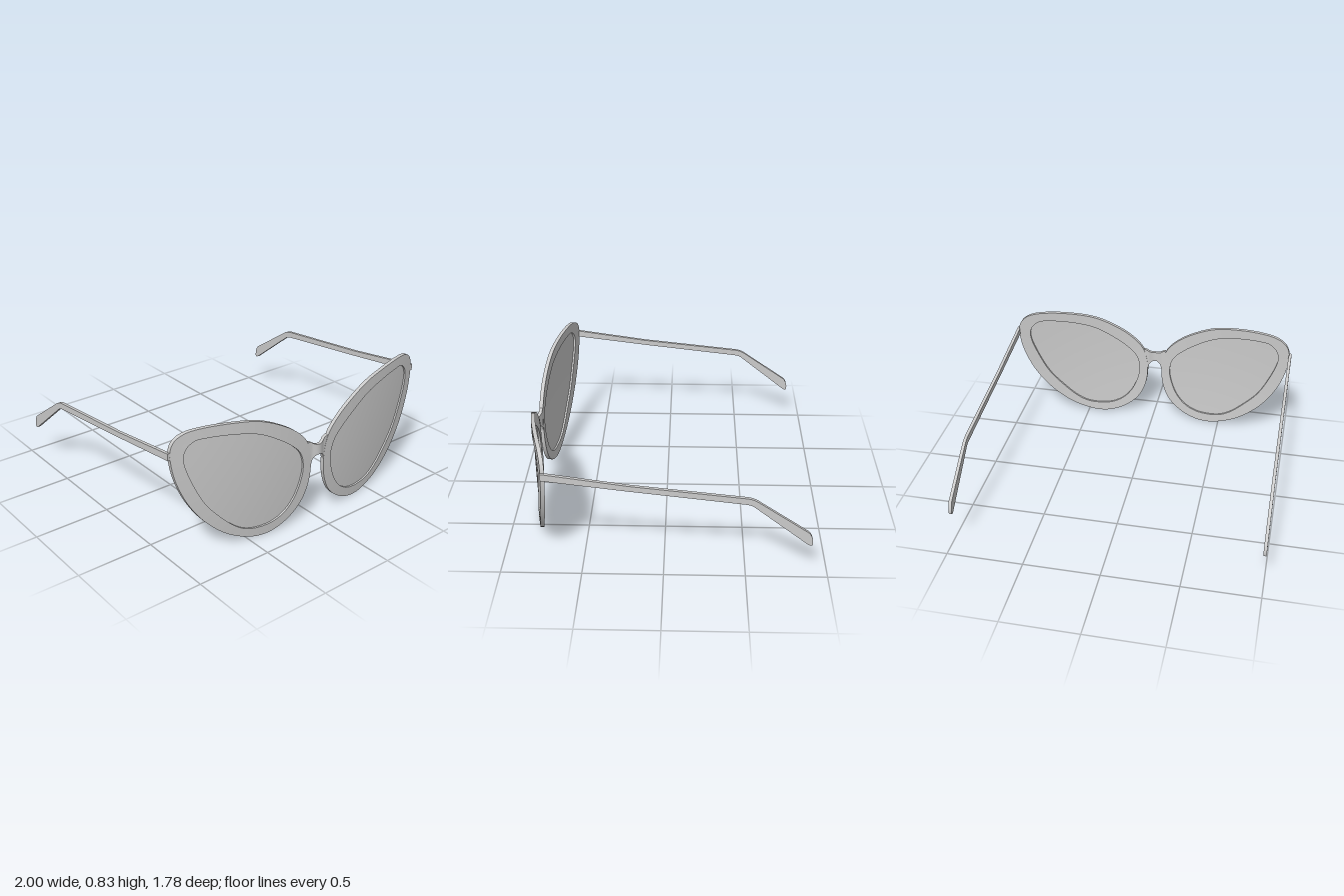
import * as THREE from 'three';
import { toCreasedNormals } from 'three/addons/utils/BufferGeometryUtils.js';

const SEGMENTS = 88;
const THICKNESS = 0.025;

// Matching rim outlines, clockwise from the inner upper corner
const OUTER = [[0.09, 0.56], [0.155, 0.635], [0.25, 0.705], [0.43, 0.79], [0.6, 0.822], [0.8, 0.833],
  [0.9, 0.82], [0.957, 0.785], [0.983, 0.73], [0.983, 0.65], [0.957, 0.52], [0.89, 0.36], [0.785, 0.21],
  [0.65, 0.09], [0.52, 0.025], [0.41, 0], [0.305, 0.013], [0.2, 0.065], [0.118, 0.145], [0.07, 0.25],
  [0.053, 0.36], [0.06, 0.47]];
const INNER = [[0.15, 0.51], [0.2, 0.56], [0.28, 0.62], [0.44, 0.71], [0.6, 0.75], [0.77, 0.767],
  [0.84, 0.763], [0.883, 0.735], [0.907, 0.69], [0.907, 0.63], [0.865, 0.5], [0.785, 0.335], [0.69, 0.22],
  [0.59, 0.125], [0.51, 0.08], [0.42, 0.065], [0.32, 0.075], [0.235, 0.12], [0.175, 0.19], [0.135, 0.28],
  [0.115, 0.37], [0.122, 0.45]];

// Front surface of the wrapped face
const faceZ = (x, y) => 0.875 - 0.165 * x * x - 0.06 * (y - 0.5) ** 2;

function outline(points) {
  const curve = new THREE.CatmullRomCurve3(points.map(([x, y]) => new THREE.Vector3(x, y, 0)), true);
  return Array.from({ length: SEGMENTS }, (_, i) => curve.getPoint(i / SEGMENTS));
}

// Skin a row of closed loops with quads
function loft(loops, flip = false) {
  const n = loops[0].length;
  const index = [];
  for (let i = 0; i < loops.length - 1; i++) {
    for (let j = 0; j < n; j++) {
      const a = i * n + j, b = i * n + (j + 1) % n;
      const c = a + n, d = b + n;
      if (flip) index.push(a, d, b, a, c, d);
      else index.push(a, b, d, a, d, c);
    }
  }
  const geometry = new THREE.BufferGeometry().setFromPoints(loops.flat());
  geometry.setIndex(index);
  return toCreasedNormals(geometry, 0.6);
}

// Lay an outline on the wrapped face, set back by depth
const onFace = (loop, depth, side) =>
  loop.map((p) => new THREE.Vector3(p.x * side, p.y, faceZ(p.x, p.y) - depth));

function rimGeometry(side) {
  const outer = outline(OUTER), inner = outline(INNER);
  const front = onFace(inner, 0, side);
  return loft([front, onFace(outer, 0, side), onFace(outer, THICKNESS, side),
    onFace(inner, THICKNESS, side), front], side < 0);
}

function lensGeometry(side) {
  const edge = outline(INNER), centre = new THREE.Vector3(0.5, 0.45, 0);
  const loops = [];
  for (let i = 0; i <= 8; i++) {
    loops.push(onFace(edge.map((p) => centre.clone().lerp(p, i / 8)), THICKNESS / 2, side));
  }
  return loft(loops, side < 0);
}

function bridgeGeometry() {
  const half = [[0, 0.52, 0.45, 0.89], [0.015, 0.521, 0.449, 0.888], [0.03, 0.525, 0.44, 0.882],
    [0.043, 0.532, 0.425, 0.876], [0.052, 0.54, 0.39, 0.8735], [0.06, 0.545, 0.37, 0.873],
    [0.08, 0.55, 0.37, 0.872]];
  const stations = [...half.slice(1).reverse().map(([x, ...rest]) => [-x, ...rest]), ...half];
  return loft(stations.map(([x, top, bottom, z]) => [[top, z], [bottom, z], [bottom, z - 0.022], [top, z - 0.022]]
    .map(([y, depth]) => new THREE.Vector3(x, y, depth))));
}

// Side profile drawn as (z, y), extruded across x
function templeGeometry(side) {
  const s = new THREE.Shape();
  s.moveTo(0.712, 0.717);
  s.lineTo(0.2, 0.643);
  s.lineTo(-0.49, 0.568);
  s.quadraticCurveTo(-0.525, 0.564, -0.555, 0.544);
  s.lineTo(-0.865, 0.329);
  s.quadraticCurveTo(-0.885, 0.31, -0.892, 0.27);
  s.lineTo(-0.892, 0.245);
  s.quadraticCurveTo(-0.89, 0.23, -0.865, 0.243);
  s.lineTo(-0.535, 0.508);
  s.quadraticCurveTo(-0.515, 0.523, -0.485, 0.527);
  s.lineTo(0.2, 0.607);
  s.lineTo(0.712, 0.672);
  s.closePath();
  const geometry = new THREE.ExtrudeGeometry(s, { depth: 0.02, bevelEnabled: false, curveSegments: 6 });
  geometry.rotateY(-Math.PI / 2);
  geometry.translate(side > 0 ? 1 : -0.98, 0, 0);
  return toCreasedNormals(geometry, 0.6);
}

export function createModel() {
  const group = new THREE.Group();
  group.name = 'sunglasses';
  const material = new THREE.MeshStandardMaterial({ color: 0xcccccc });
  const thin = new THREE.MeshStandardMaterial({ color: 0xcccccc, side: THREE.DoubleSide });
  const add = (name, geometry, mat = material) => {
    const mesh = new THREE.Mesh(geometry, mat);
    mesh.name = name;
    group.add(mesh);
  };

  for (const [label, side] of [['left', 1], ['right', -1]]) {
    add(label + 'Rim', rimGeometry(side));
    add(label + 'Lens', lensGeometry(side), thin);
    add(label + 'Temple', templeGeometry(side));
  }
  add('bridge', bridgeGeometry());
  return group;
}
